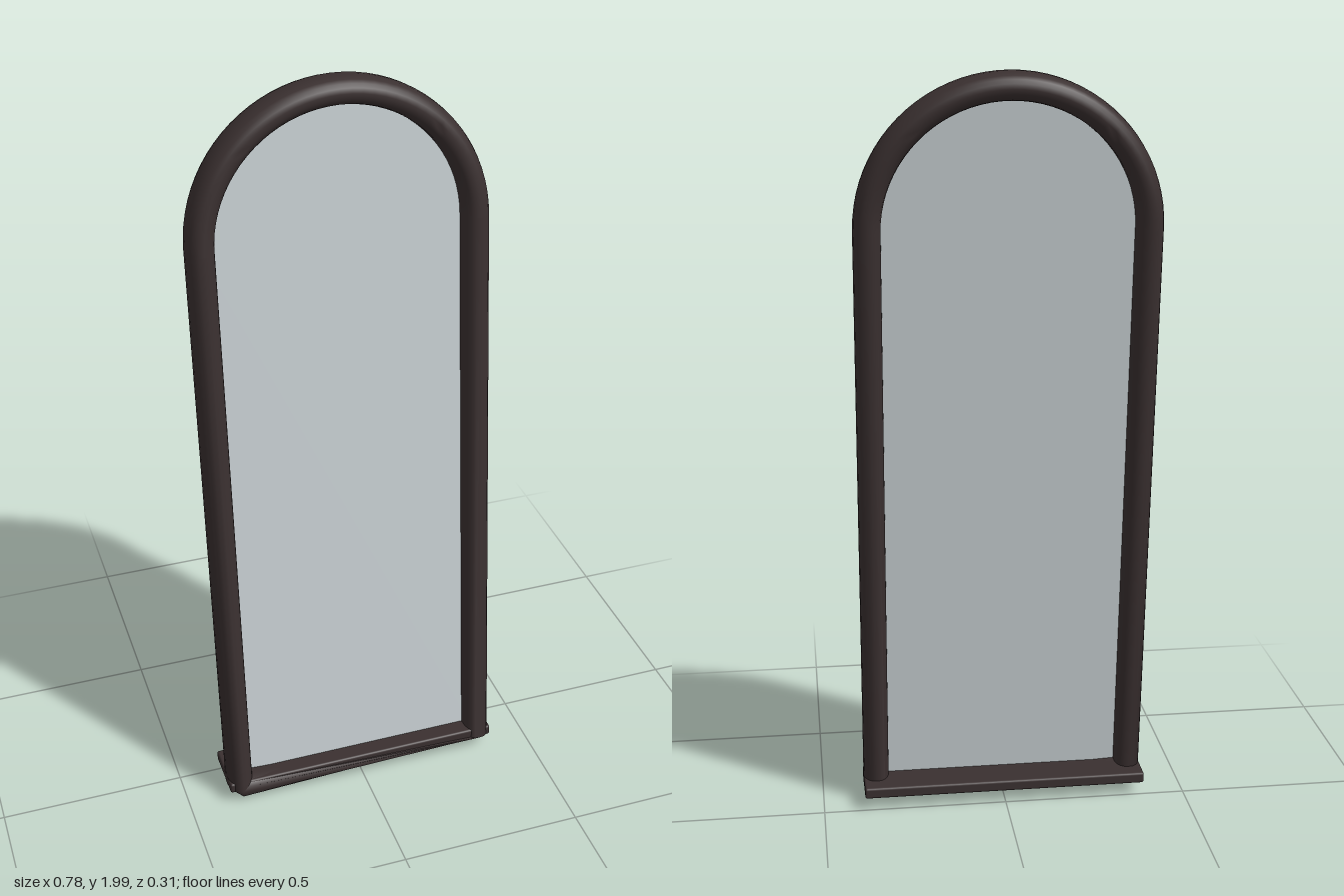
import * as THREE from 'three';
import { toCreasedNormals } from 'three/addons/utils/BufferGeometryUtils.js';
import { RoundedBoxGeometry } from 'three/addons/geometries/RoundedBoxGeometry.js';

const R = 0.353;          // half width of the frame centreline
const SPRING = 1.58;      // height where the arch begins
const HALF_W = 0.035;     // half width of the moulding
const HALF_D = 0.056;     // half depth of the moulding
const LEAN = 0.103;       // backward lean in radians

// Closed moulding swept through stations of centre (x, y) and outward angle
function sweepFrame(stations, sides) {
  const pos = [], idx = [];
  const soften = (v) => Math.sign(v) * Math.abs(v) ** 0.85;
  for (const [x, y, a] of stations) {
    for (let j = 0; j < sides; j++) {
      const t = (j / sides) * Math.PI * 2;
      const u = soften(Math.cos(t)) * HALF_W;
      pos.push(x + Math.cos(a) * u, y + Math.sin(a) * u, soften(Math.sin(t)) * HALF_D);
    }
  }
  const n = stations.length;
  for (let i = 0; i < n; i++) {
    for (let j = 0; j < sides; j++) {
      const a = i * sides + j, b = i * sides + ((j + 1) % sides);
      const c = ((i + 1) % n) * sides + j, d = ((i + 1) % n) * sides + ((j + 1) % sides);
      idx.push(a, c, b, b, c, d);
    }
  }
  const g = new THREE.BufferGeometry();
  g.setAttribute('position', new THREE.Float32BufferAttribute(pos, 3));
  g.setIndex(idx);
  return toCreasedNormals(g, 0.9);
}

export function createModel() {
  const wood = new THREE.MeshStandardMaterial({ color: 0x3a3030 });
  wood.name = 'dark wood';
  const silver = new THREE.MeshStandardMaterial({ color: 0xc8d0d3, side: THREE.DoubleSide });
  silver.name = 'mirror silver';

  const model = new THREE.Group();
  model.name = 'leaningMirror';

  const leaning = new THREE.Group();
  leaning.name = 'mirrorPanel';
  leaning.position.set(0, 0.04, 0.1);
  leaning.rotation.x = -LEAN;
  model.add(leaning);

  // Frame: right post, arch, left post, then the tapering bottom rail
  const stations = [[R, 0, 0]];
  const steps = 40;
  for (let i = 0; i <= steps; i++) {
    const a = (i / steps) * Math.PI;
    stations.push([Math.cos(a) * R, SPRING + Math.sin(a) * R, a]);
  }
  stations.push([-R, 0, Math.PI], [-R, 0, Math.PI * 1.5]);
  const frame = new THREE.Mesh(sweepFrame(stations, 20), wood);
  frame.name = 'archedFrame';
  leaning.add(frame);

  // Mirror pane in the middle of the moulding
  const outline = new THREE.Shape();
  outline.moveTo(-R, 0);
  outline.lineTo(R, 0);
  outline.lineTo(R, SPRING);
  outline.absarc(0, SPRING, R, 0, Math.PI, false);
  outline.lineTo(-R, 0);
  const pane = new THREE.Mesh(new THREE.ShapeGeometry(outline, 40), silver);
  pane.name = 'mirrorPane';
  leaning.add(pane);

  // Level shelf through the foot of the frame
  const shelf = new THREE.Mesh(new RoundedBoxGeometry(0.776, 0.03, 0.15, 2, 0.006), wood);
  shelf.name = 'footShelf';
  shelf.position.set(0, 0.055, 0.07);
  model.add(shelf);

  return model;
}
